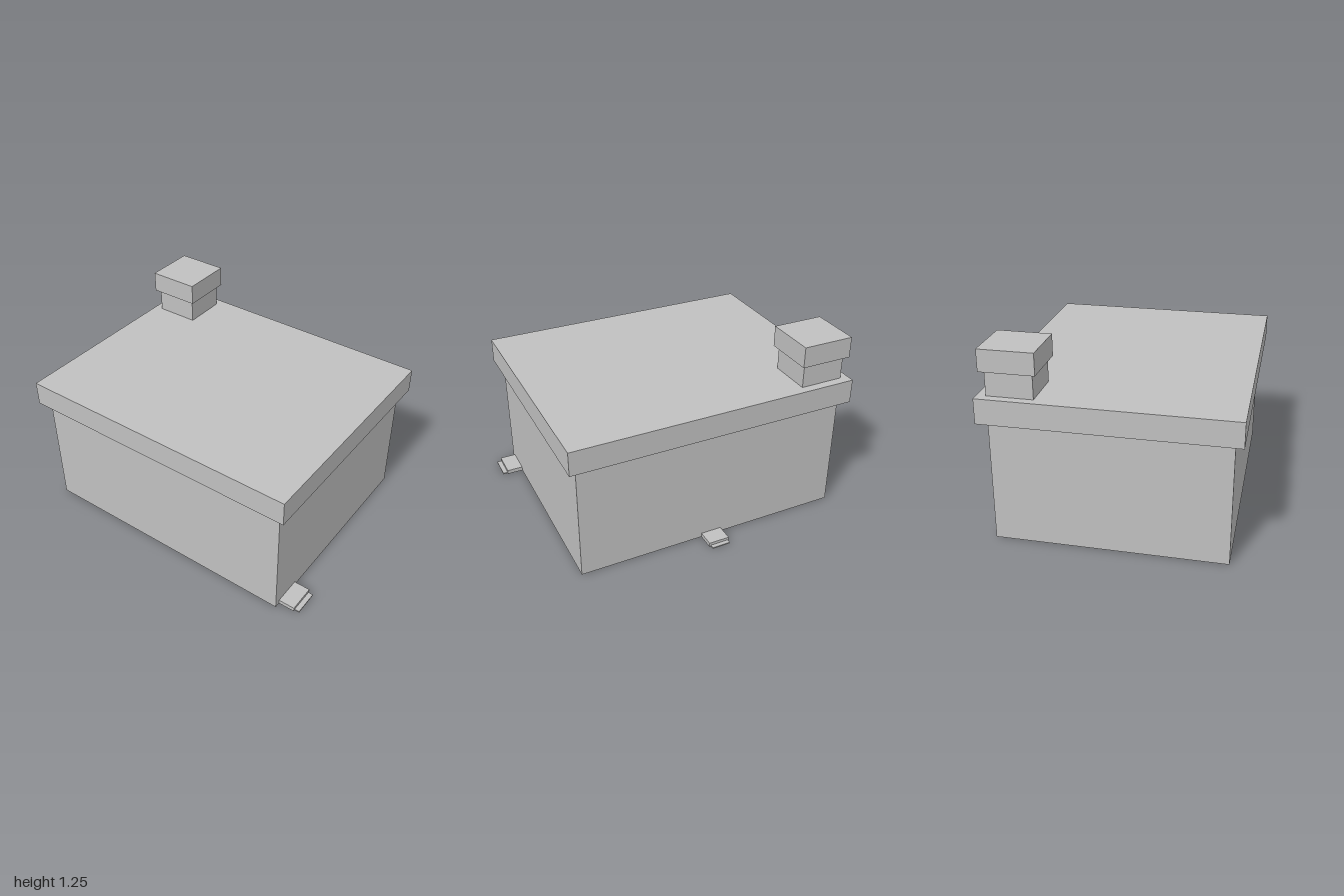
import * as THREE from 'three';

export function createModel() {
  const model = new THREE.Group();
  model.name = 'house';

  const plainGrey = new THREE.MeshStandardMaterial({ color: 0xc0c0c0 });
  plainGrey.name = 'plainGrey';

  // Box given by its extents on each axis
  function block(name, [x0, x1], [y0, y1], [z0, z1], parent = model) {
    const mesh = new THREE.Mesh(new THREE.BoxGeometry(x1 - x0, y1 - y0, z1 - z0), plainGrey);
    mesh.position.set((x0 + x1) / 2, (y0 + y1) / 2, (z0 + z1) / 2);
    mesh.name = name;
    parent.add(mesh);
  }

  // Main body and overhanging flat roof
  block('walls', [-0.945, 0.86], [0, 0.792], [-0.68, 0.765]);
  block('roof', [-1, 0.915], [0.792, 0.952], [-0.737, 0.817]);

  // Chimney at the back corner
  const chimney = new THREE.Group();
  chimney.name = 'chimney';
  model.add(chimney);
  block('chimneyStack', [-0.945, -0.657], [0.952, 1.108], [-0.68, -0.392], chimney);
  block('chimneyCap', [-0.972, -0.632], [1.108, 1.246], [-0.708, -0.367], chimney);

  // Doorsteps on the left side and at the back, each with a low front lip
  const sideStep = new THREE.Group();
  sideStep.name = 'sideStep';
  model.add(sideStep);
  block('sideStepTread', [0.86, 0.968], [0, 0.028], [0.547, 0.728], sideStep);
  block('sideStepLip', [0.968, 1], [0, 0.009], [0.555, 0.717], sideStep);

  const backStep = new THREE.Group();
  backStep.name = 'backStep';
  model.add(backStep);
  block('backStepTread', [-0.112, 0.028], [0, 0.028], [-0.79, -0.68], backStep);
  block('backStepLip', [-0.105, 0.018], [0, 0.009], [-0.817, -0.79], backStep);

  return model;
}
